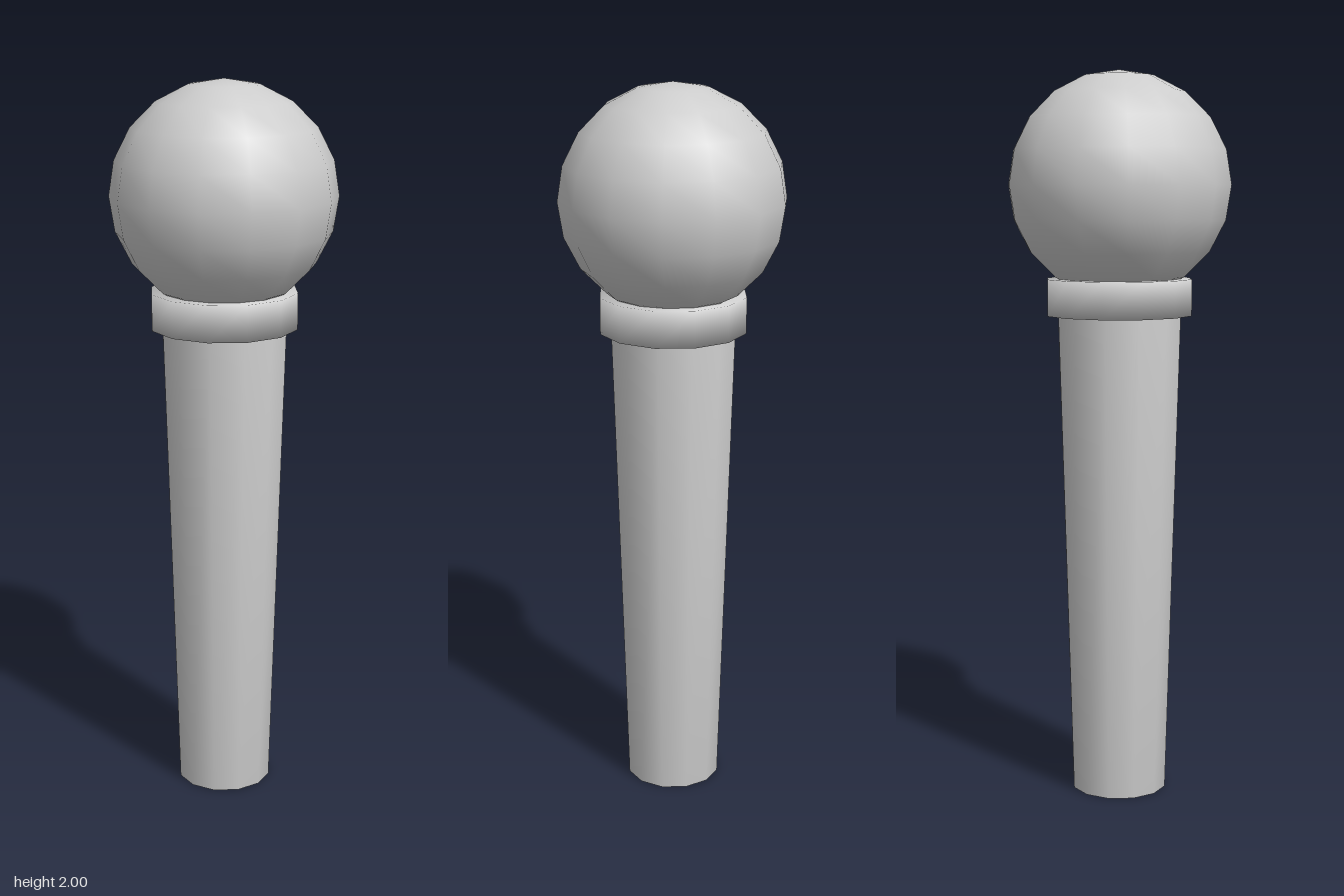
import * as THREE from 'three';
import { mergeVertices } from 'three/addons/utils/BufferGeometryUtils.js';

// Weld all corners so shading runs smoothly over rims and caps
function weld(geometry) {
  geometry.deleteAttribute('normal');
  geometry.deleteAttribute('uv');
  const welded = mergeVertices(geometry, 1e-4);
  welded.computeVertexNormals();
  return welded;
}

export function createModel() {
  const group = new THREE.Group();
  const grey = new THREE.MeshStandardMaterial({ color: 0xcccccc });
  grey.name = 'light grey';

  function add(name, geometry, y) {
    const mesh = new THREE.Mesh(weld(geometry), grey);
    mesh.name = name;
    mesh.position.y = y;
    group.add(mesh);
  }

  // Tapered twelve-sided handle, its top hidden inside the collar
  const bottom = 0, top = 1.386;
  add('handle', new THREE.CylinderGeometry(0.174, 0.133, top - bottom, 12), (top + bottom) / 2);

  // Flat collar between handle and head
  add('collar', new THREE.CylinderGeometry(0.203, 0.203, 0.1, 12), 1.389);

  // Round head, turned so that corners point to the front and back
  add('head', new THREE.SphereGeometry(0.307, 14, 10).rotateY(Math.PI / 2), 1.693);

  return group;
}
